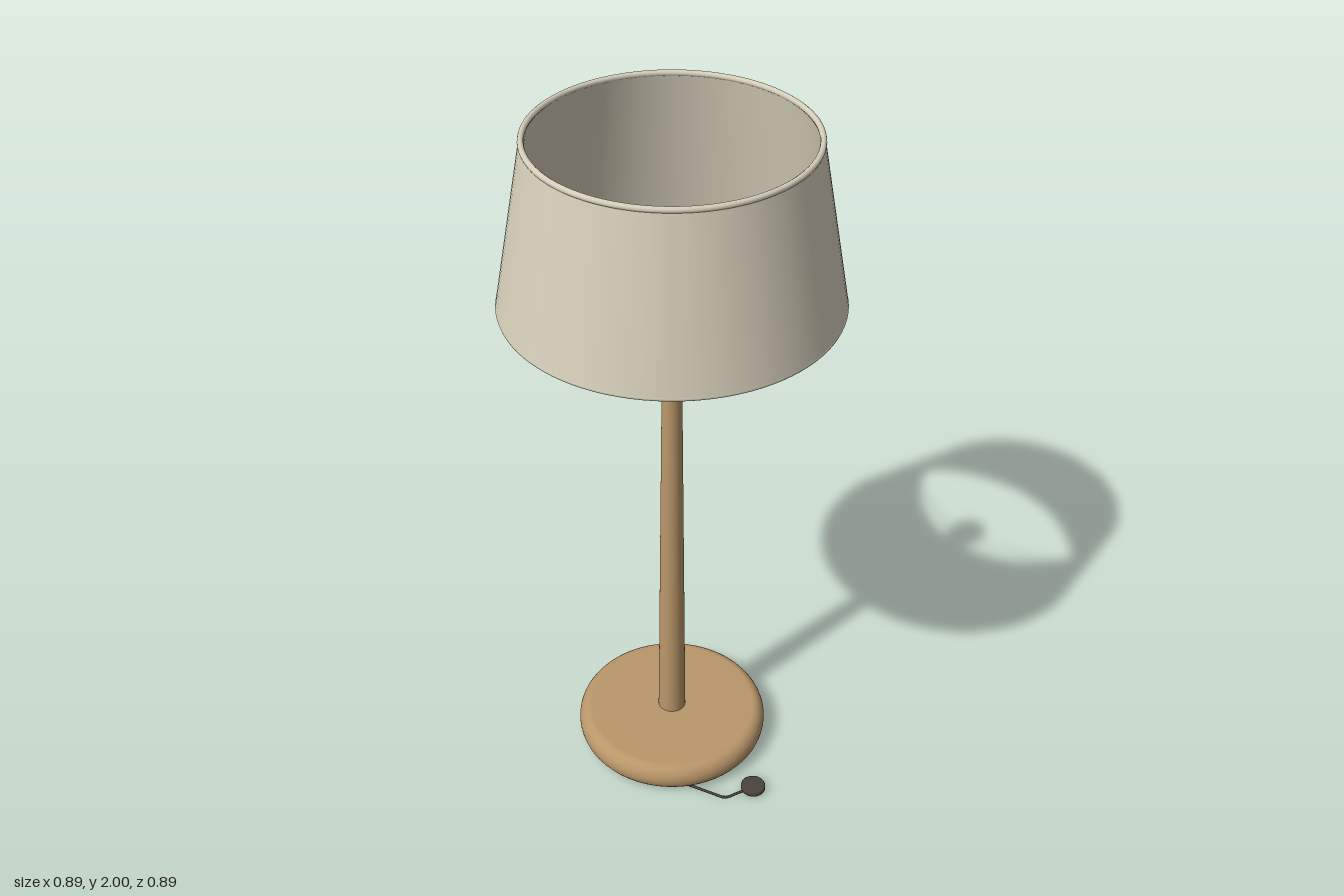
import * as THREE from 'three';

const mat = (name, color) => {
  const m = new THREE.MeshStandardMaterial({ color });
  m.name = name;
  return m;
};

export function createModel() {
  const group = new THREE.Group();
  group.name = 'tableLamp';

  const linen = mat('linen', 0xd6cfba);
  const wood = mat('wood', 0xba976a);
  const glow = mat('warm bulb', 0xdcc59c);
  const bronze = mat('bronze wire', 0x6f583e);
  const dark = mat('dark cord', 0x4b443b);

  const add = (name, geometry, material) => {
    const mesh = new THREE.Mesh(geometry, material);
    mesh.name = name;
    group.add(mesh);
    return mesh;
  };
  // Profiles are [radius, height] pairs listed from bottom to top
  const lathe = (points, segments = 64) =>
    new THREE.LatheGeometry(points.map(([r, y]) => new THREE.Vector2(r, y)), segments);
  const rod = (a, b, r) =>
    new THREE.TubeGeometry(new THREE.LineCurve3(a, b), 1, r, 8);

  // Round base with a soft edge
  const edge = [];
  for (let i = 0; i <= 12; i++) {
    const a = -Math.PI / 2 + (Math.PI * i) / 12;
    edge.push([0.246 + 0.037 * Math.cos(a), 0.051 + 0.045 * Math.sin(a)]);
  }
  add('base', lathe([[0, 0.006], ...edge, [0, 0.098]]), wood);

  // Tapered stem
  const stem = add('stem', new THREE.CylinderGeometry(0.024, 0.041, 1.47, 32), wood);
  stem.position.y = 0.825;

  // Stepped socket
  const lower = add('socketCollar', new THREE.CylinderGeometry(0.04, 0.036, 0.035, 32), wood);
  lower.position.y = 1.563;
  const upper = add('socket', new THREE.CylinderGeometry(0.047, 0.047, 0.035, 32), wood);
  upper.position.y = 1.595;

  // Bulb: a neck running into a globe
  const globe = [[0.032, 1.6], [0.036, 1.617]];
  for (let i = 0; i <= 14; i++) {
    const a = -0.75 + ((Math.PI / 2 + 0.75) * i) / 14;
    globe.push([Math.max(0, 0.056 * Math.cos(a)), 1.667 + 0.056 * Math.sin(a)]);
  }
  add('bulb', lathe(globe, 32), glow);

  // Three wires from the socket to the lower shade rim
  for (let i = 0; i < 3; i++) {
    const a = (i * Math.PI * 2) / 3;
    const at = (r, y) => new THREE.Vector3(r * Math.cos(a), y, r * Math.sin(a));
    add('shadeWire', rod(at(0.03, 1.597), at(0.428, 1.555), 0.003), bronze);
  }

  // Shade: outer and inner walls with rolled rims
  add('shadeOuter', lathe([[0.443, 1.55], [0.361, 1.992]], 96), linen);
  add('shadeInner', lathe([[0.35, 1.992], [0.431, 1.55]], 96), linen);
  for (const [name, r, y] of [['topRim', 0.356, 1.992], ['bottomRim', 0.436, 1.547]]) {
    const rim = add(name, new THREE.TorusGeometry(r, 0.008, 10, 96), linen);
    rim.rotation.x = Math.PI / 2;
    rim.position.y = y;
  }

  // Cord and foot switch
  const p = (x, z, y = 0.009) => new THREE.Vector3(x, y, z);
  const path = new THREE.CurvePath();
  path.add(new THREE.LineCurve3(p(0.12, 0.23), p(0.222, 0.246)));
  path.add(new THREE.QuadraticBezierCurve3(p(0.222, 0.246), p(0.24, 0.249), p(0.252, 0.235)));
  path.add(new THREE.LineCurve3(p(0.252, 0.235), p(0.3, 0.188)));
  add('cord', new THREE.TubeGeometry(path, 24, 0.004, 8), dark);
  const pedal = add('footSwitch', lathe([
    [0, 0], [0.033, 0], [0.036, 0.004], [0.036, 0.014], [0.032, 0.018], [0, 0.018],
  ], 32), dark);
  pedal.position.set(0.306, 0.004, 0.184);

  // Small foot pad so the lamp rests on the floor
  const pad = add('footPad', new THREE.CylinderGeometry(0.22, 0.22, 0.01, 48), wood);
  pad.position.y = 0.005;

  return group;
}
